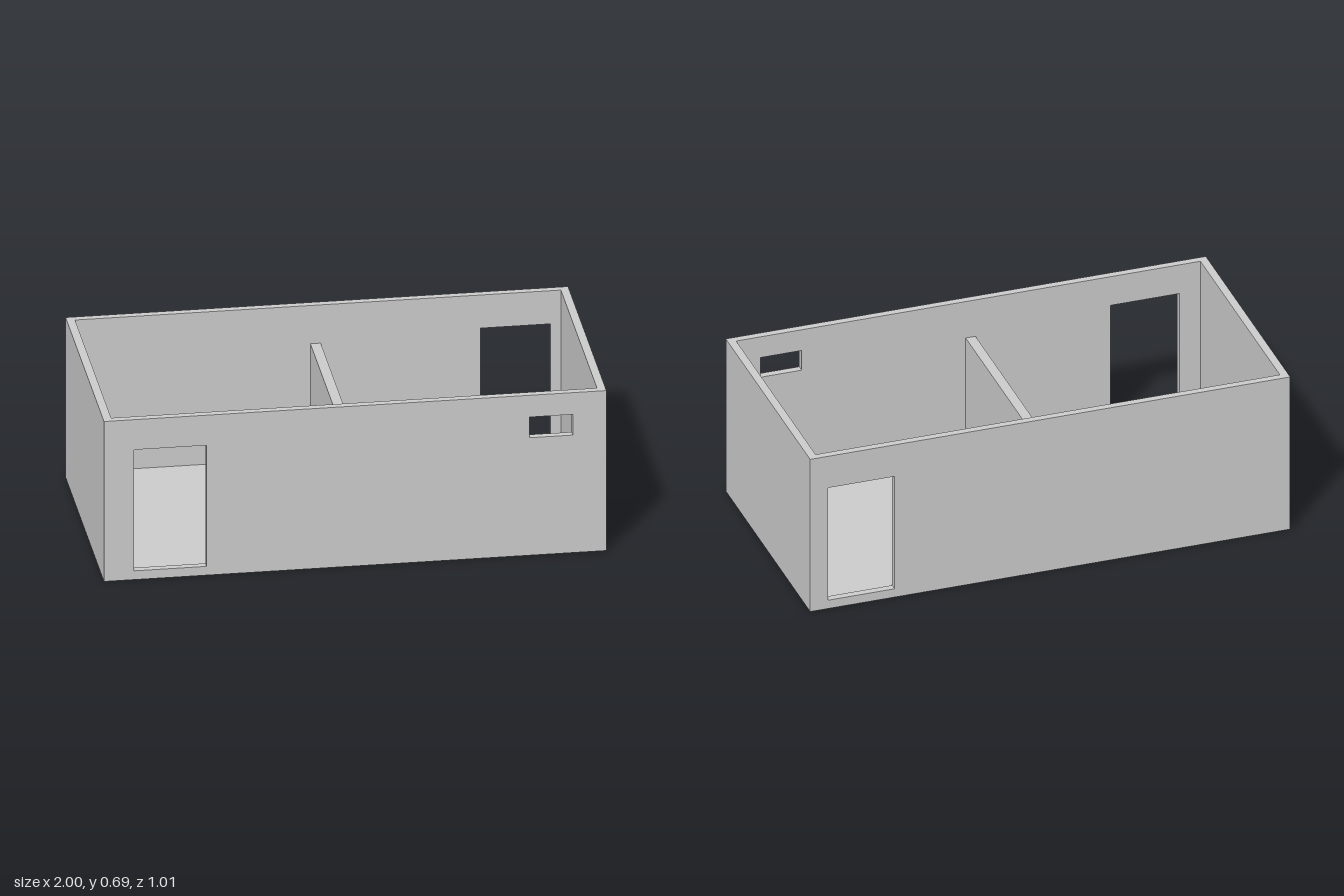
import * as THREE from 'three';

const W = 1, D = 0.507, H = 0.69;      // outer half width, half depth, height
const IX = 0.967, IZ = 0.477;          // inner half width and half depth
const FLOOR = 0.033;

const material = new THREE.MeshStandardMaterial({ color: 0xcccccc });

// Box given by its limits on each axis
function block(name, x0, x1, y0, y1, z0, z1) {
  const mesh = new THREE.Mesh(new THREE.BoxGeometry(x1 - x0, y1 - y0, z1 - z0), material);
  mesh.position.set((x0 + x1) / 2, (y0 + y1) / 2, (z0 + z1) / 2);
  mesh.name = name;
  return mesh;
}

function rectangle(target, x0, x1, y0, y1) {
  target.moveTo(x0, y0);
  target.lineTo(x1, y0);
  target.lineTo(x1, y1);
  target.lineTo(x0, y1);
  target.closePath();
  return target;
}

// Long wall with rectangular openings [x0, x1, y0, y1]
function longWall(name, z, openings) {
  const shape = rectangle(new THREE.Shape(), -W, W, 0, H);
  for (const o of openings) shape.holes.push(rectangle(new THREE.Path(), ...o));
  const geometry = new THREE.ExtrudeGeometry(shape, { depth: D - IZ, bevelEnabled: false });
  const mesh = new THREE.Mesh(geometry, material);
  mesh.position.z = z;
  mesh.name = name;
  return mesh;
}

export function createModel() {
  const house = new THREE.Group();
  house.name = 'roofless two-room building';

  // Front wall: doorway and small high window
  house.add(longWall('frontWall', IZ, [
    [-0.88, -0.592, 0.038, 0.56],
    [0.694, 0.866, 0.507, 0.596],
  ]));
  // Back wall: doorway
  house.add(longWall('backWall', -D, [[0.648, 0.926, 0.038, 0.547]]));

  // End walls
  house.add(block('leftWall', IX, W, 0, H, -IZ, IZ));
  house.add(block('rightWall', -W, -IX, 0, H, -IZ, IZ));

  // Floor slab and the lower dividing wall
  house.add(block('floor', -IX, IX, 0, FLOOR, -IZ, IZ));
  house.add(block('partition', -0.03, 0.011, FLOOR, 0.525, -IZ, IZ));

  return house;
}
